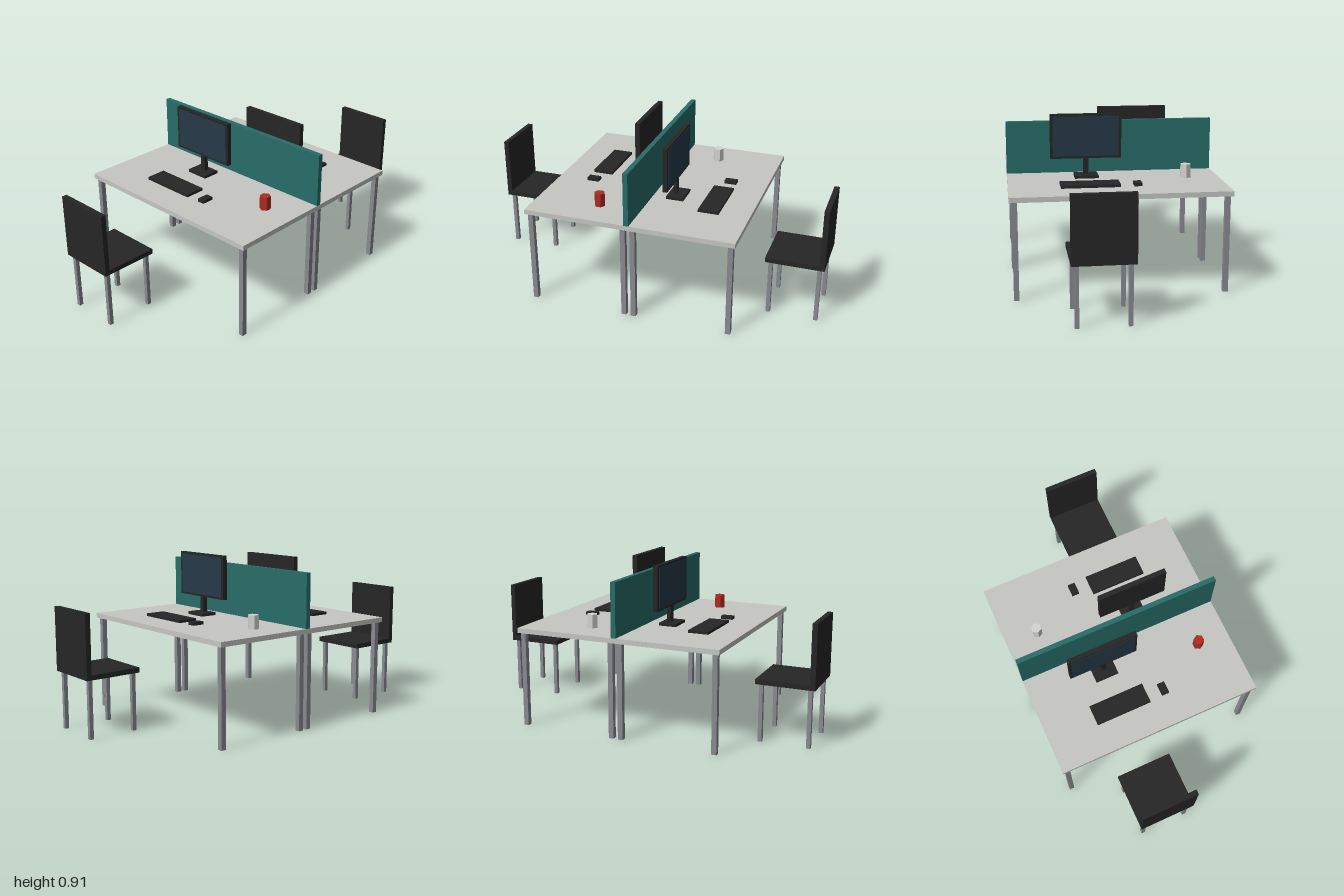
import * as THREE from 'three';

const mat = (name, color, flatShading = false) => {
  const m = new THREE.MeshStandardMaterial({ color, flatShading });
  m.name = name;
  return m;
};

export function createModel() {
  const desk = mat('desk grey', 0xc6c6c3);
  const metal = mat('leg metal', 0x8a8b92);
  const dark = mat('charcoal', 0x262626);
  const glass = mat('screen blue', 0x263948);
  const teal = mat('divider teal', 0x276d69);
  const red = mat('mug red', 0xb02c22, true);
  const white = mat('mug white', 0xd4d4d2, true);

  // Box given by its x, y and z ranges
  const box = (parent, name, material, [x0, x1], [y0, y1], [z0, z1]) => {
    const mesh = new THREE.Mesh(new THREE.BoxGeometry(x1 - x0, y1 - y0, z1 - z0), material);
    mesh.position.set((x0 + x1) / 2, (y0 + y1) / 2, (z0 + z1) / 2);
    mesh.name = name;
    parent.add(mesh);
  };
  const around = (c, size) => [c - size / 2, c + size / 2];

  const TOP = 0.555; // desk surface height
  const CX = -0.147; // chair, keyboard and monitor centre

  const workstation = (mugMaterial) => {
    const g = new THREE.Group();
    g.name = 'workstation';

    // Desk legs
    for (const x of [-0.555, 0.555])
      for (const z of [0.027, 0.557])
        box(g, 'deskLeg', metal, around(x, 0.028), [0, 0.528], around(z, 0.028));

    // Chair
    const chair = new THREE.Group();
    chair.name = 'chair';
    g.add(chair);
    box(chair, 'chairSeat', dark, around(CX, 0.318), [0.318, 0.345], [0.682, 1]);
    box(chair, 'chairBack', dark, around(CX, 0.318), [0.345, 0.667], [0.972, 1]);
    for (const dx of [-0.131, 0.131])
      for (const z of [0.709, 0.971])
        box(chair, 'chairLeg', metal, around(CX + dx, 0.022), [0, 0.318], around(z, 0.022));

    // Monitor on its stand
    const monitor = new THREE.Group();
    monitor.name = 'monitor';
    g.add(monitor);
    box(monitor, 'monitorBase', dark, around(CX, 0.132), [TOP, 0.571], around(0.143, 0.098));
    box(monitor, 'monitorNeck', dark, around(CX, 0.03), [0.571, 0.662], around(0.131, 0.024));
    box(monitor, 'monitorBody', dark, around(CX, 0.395), [0.66, 0.907], around(0.131, 0.027));
    box(monitor, 'screen', glass, around(CX, 0.366), [0.672, 0.895], [0.144, 0.147]);

    // Keyboard, mouse and mug
    box(g, 'keyboard', dark, around(CX, 0.318), [TOP, 0.57], [0.304, 0.418]);
    box(g, 'mouse', dark, around(0.107, 0.042), [TOP, 0.572], [0.343, 0.411]);
    const mug = new THREE.Mesh(new THREE.CylinderGeometry(0.03, 0.03, 0.075, 6), mugMaterial);
    mug.position.set(0.4, TOP + 0.0375, 0.22);
    mug.name = 'mug';
    g.add(mug);
    return g;
  };

  const model = new THREE.Group();
  model.name = 'sharedDesk';
  box(model, 'deskTop', desk, around(0, 1.168), [0.528, TOP], around(0, 1.168));
  box(model, 'divider', teal, around(0, 1.168), [TOP, 0.85], around(0, 0.027));

  // Two identical places facing each other
  const back = workstation(white);
  back.rotation.y = Math.PI;
  model.add(workstation(red), back);
  return model;
}
